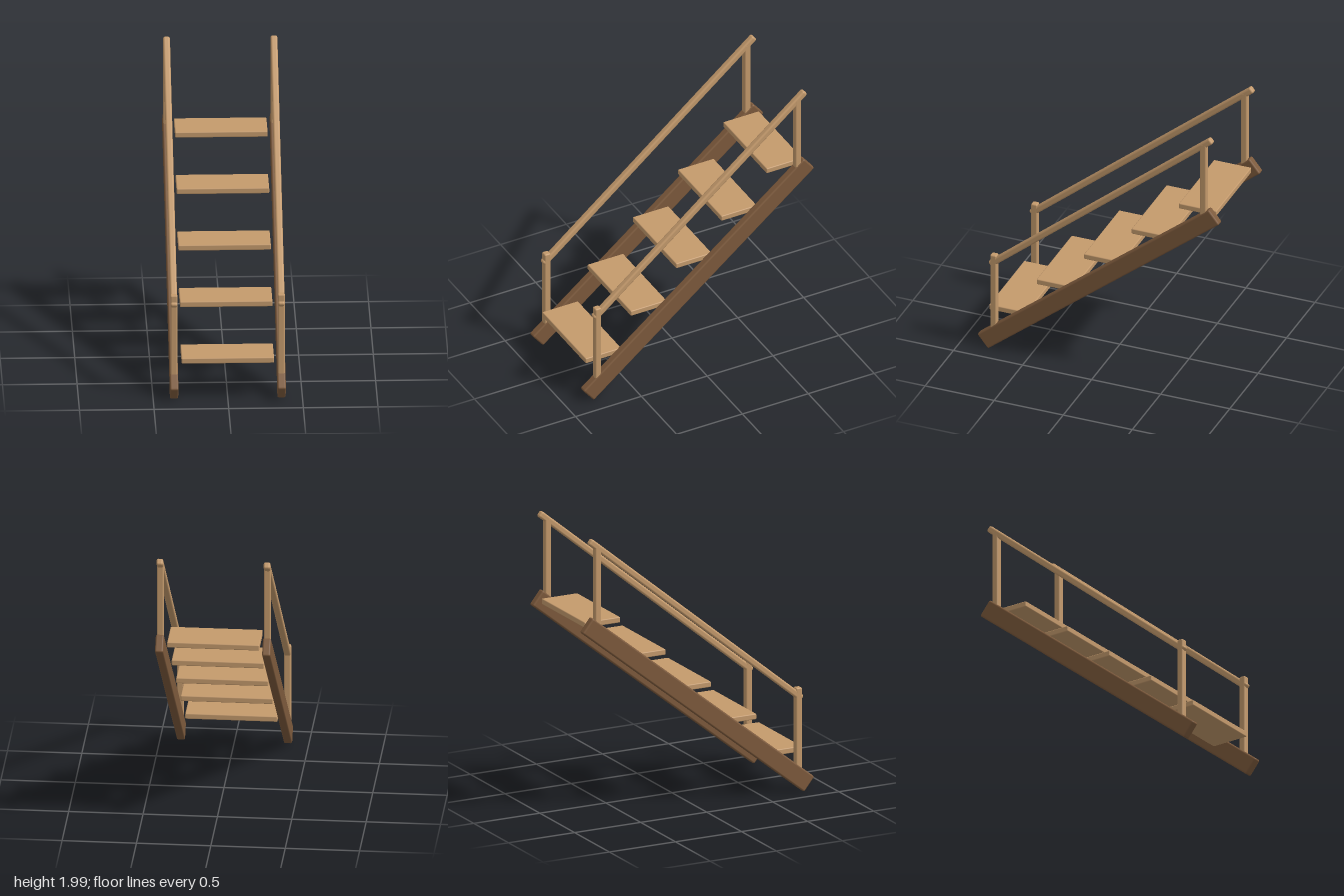
import * as THREE from 'three';
import { RoundedBoxGeometry } from 'three/addons/geometries/RoundedBoxGeometry.js';

export function createModel() {
  const group = new THREE.Group();
  group.name = 'openStaircase';

  const lightWood = new THREE.MeshStandardMaterial({ color: 0xc49a6c });
  lightWood.name = 'light wood';
  const darkWood = new THREE.MeshStandardMaterial({ color: 0x7d5a3c });
  darkWood.name = 'dark wood';

  // Board with softened edges, optionally pitched up towards the back
  function board(name, material, size, position, bevel, pitch = 0) {
    const mesh = new THREE.Mesh(new RoundedBoxGeometry(...size, 2, bevel), material);
    mesh.name = name;
    mesh.position.set(...position);
    mesh.rotation.x = THREE.MathUtils.degToRad(pitch);
    group.add(mesh);
  }

  // Treads
  for (let i = 0; i < 5; i++) {
    board(`tread${i + 1}`, lightWood, [0.62, 0.04, 0.272],
      [0, 0.28 + i * 0.275, 0.685 - i * 0.3435], 0.007);
  }

  // Stringers, posts and handrails, mirrored left and right
  for (const [side, s] of [['left', 1], ['right', -1]]) {
    const x = s * 0.36;
    board(`${side}Stringer`, darkWood, [0.056, 0.125, 2.15], [x, 0.7225, 0], 0.012, 38.8);
    board(`${side}FrontPost`, lightWood, [0.047, 0.6, 0.046], [x, 0.435, 0.762], 0.01);
    board(`${side}BackPost`, lightWood, [0.047, 0.6, 0.046], [x, 1.645, -0.757], 0.01);
    board(`${side}Handrail`, lightWood, [0.046, 0.046, 2.08], [x, 1.318, -0.013], 0.014, 39.6);
  }

  return group;
}
